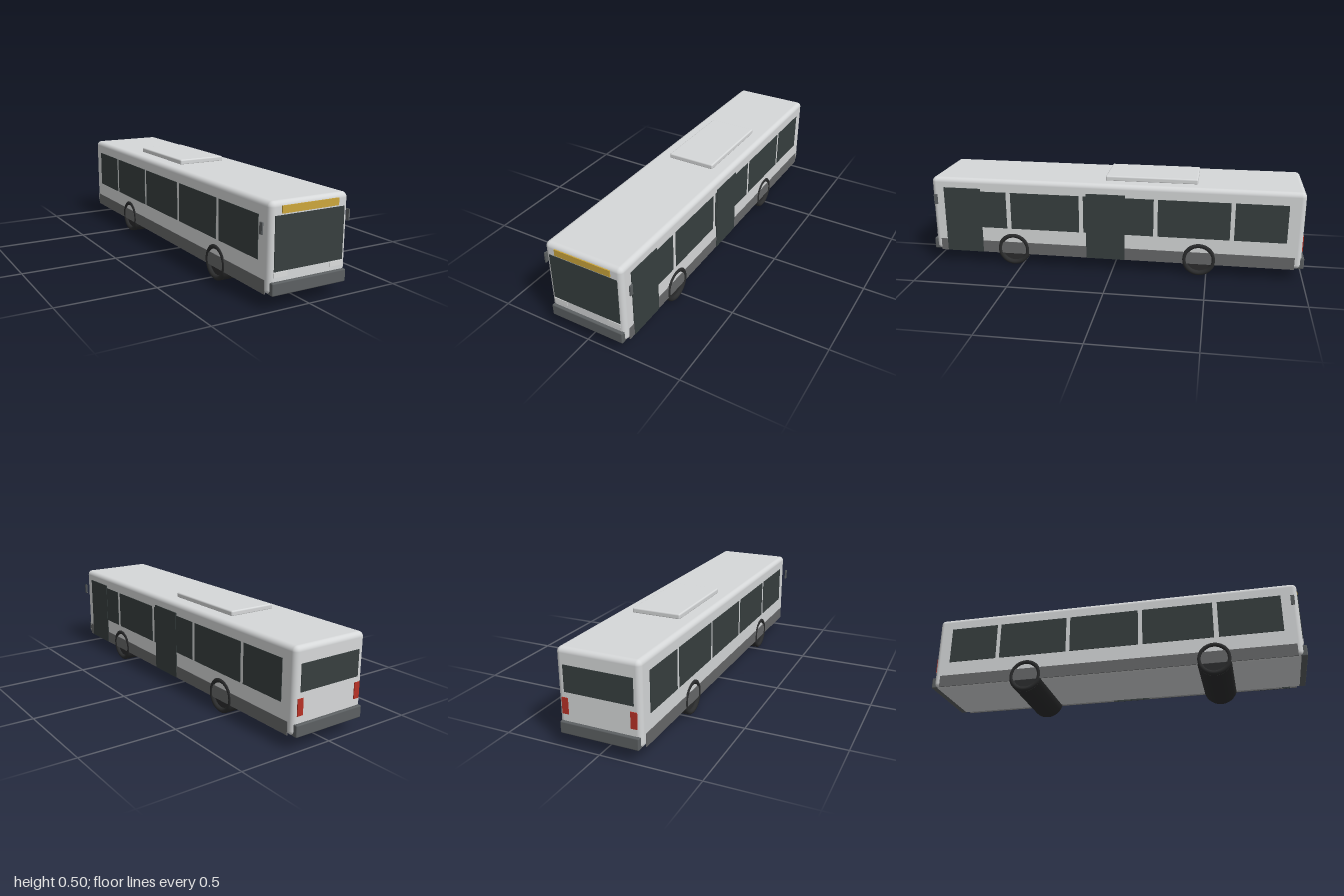
import * as THREE from 'three';
import { RoundedBoxGeometry } from 'three/addons/geometries/RoundedBoxGeometry.js';

const mat = (name, color) => Object.assign(new THREE.MeshStandardMaterial({ color }), { name });

export function createModel() {
  const bus = new THREE.Group();
  bus.name = 'cityBus';
  const paint = mat('light grey paint', 0xd6d8d9);
  const glass = mat('dark glass', 0x373f3f);
  const trim = mat('grey trim', 0x676869);
  const bumperGrey = mat('bumper grey', 0x5c6062);
  const rubber = mat('tyre rubber', 0x2b2c2d);
  const amber = mat('amber sign', 0xcca63c);
  const red = mat('tail light red', 0xb83226);
  const lamp = mat('headlight white', 0xdcdddd);

  const add = (name, geometry, material) => {
    const mesh = new THREE.Mesh(geometry, material);
    mesh.name = name;
    bus.add(mesh);
    return mesh;
  };
  // Boxes given by their lower and upper limits on each axis; r rounds the edges
  const box = (name, material, [x0, x1], [y0, y1], [z0, z1], r = 0) => {
    const size = [x1 - x0, y1 - y0, z1 - z0];
    const geometry = r ? new RoundedBoxGeometry(...size, 4, r) : new THREE.BoxGeometry(...size);
    add(name, geometry, material).position.set((x0 + x1) / 2, (y0 + y1) / 2, (z0 + z1) / 2);
  };
  // Thin plate on a side wall, s = 1 for the left side and -1 for the right
  const sidePlate = (name, material, s, out, y, z) =>
    box(name, material, s > 0 ? [0.208, out] : [-out, -0.208], y, z);

  // Shell and roof unit
  box('body', paint, [-0.21, 0.21], [0.065, 0.478], [-0.985, 0.985], 0.025);
  box('roofUnit', paint, [-0.13, 0.13], [0.474, 0.503], [-0.44, 0.047], 0.008);

  // Side windows, skirts and mirrors
  const panes = [[0.575, 0.9], [0.178, 0.55], [-0.218, 0.155], [-0.615, -0.24], [-0.904, -0.637]];
  for (const s of [1, -1]) {
    for (const [z0, z1] of panes) sidePlate('sideWindow', glass, s, 0.2125, [0.208, 0.41], [z0, z1]);
    sidePlate('skirt', trim, s, 0.2125, [0.065, 0.13], [-0.95, 0.955]);
    box('mirror', bumperGrey, s > 0 ? [0.232, 0.239] : [-0.239, -0.232], [0.338, 0.391], [0.947, 0.966]);
  }

  // Passenger doors, on the left side only
  for (const z of [[0.715, 0.918], [-0.067, 0.14]]) sidePlate('door', glass, 1, 0.2145, [0.065, 0.425], z);

  // Front and rear bumpers
  box('frontBumper', bumperGrey, [-0.201, 0.201], [0.066, 0.126], [0.965, 1], 0.006);
  box('rearBumper', bumperGrey, [-0.201, 0.201], [0.066, 0.126], [-1, -0.965], 0.006);

  // Front and rear face details
  box('windscreen', glass, [-0.186, 0.186], [0.171, 0.417], [0.982, 0.988]);
  box('destinationSign', amber, [-0.152, 0.152], [0.424, 0.458], [0.982, 0.99]);
  box('rearWindow', glass, [-0.175, 0.175], [0.27, 0.4], [-0.988, -0.982]);
  for (const s of [1, -1]) {
    const span = (a, b) => (s > 0 ? [a, b] : [-b, -a]);
    box('headlight', lamp, span(0.116, 0.186), [0.145, 0.167], [0.982, 0.988]);
    box('tailLight', red, span(0.158, 0.19), [0.162, 0.242], [-0.989, -0.981]);
  }

  // Wheels: one drum per axle with a raised tyre ring at each end
  for (const z of [0.543, -0.46]) {
    const axle = add('wheels', new THREE.CylinderGeometry(0.09, 0.09, 0.4, 40).rotateZ(Math.PI / 2), rubber);
    axle.position.set(0, 0.09, z);
    for (const s of [1, -1]) {
      const ring = add('tyreRing', new THREE.TorusGeometry(0.077, 0.013, 12, 40).rotateY(Math.PI / 2), rubber);
      ring.position.set(s * 0.2035, 0.09, z);
    }
  }
  return bus;
}
